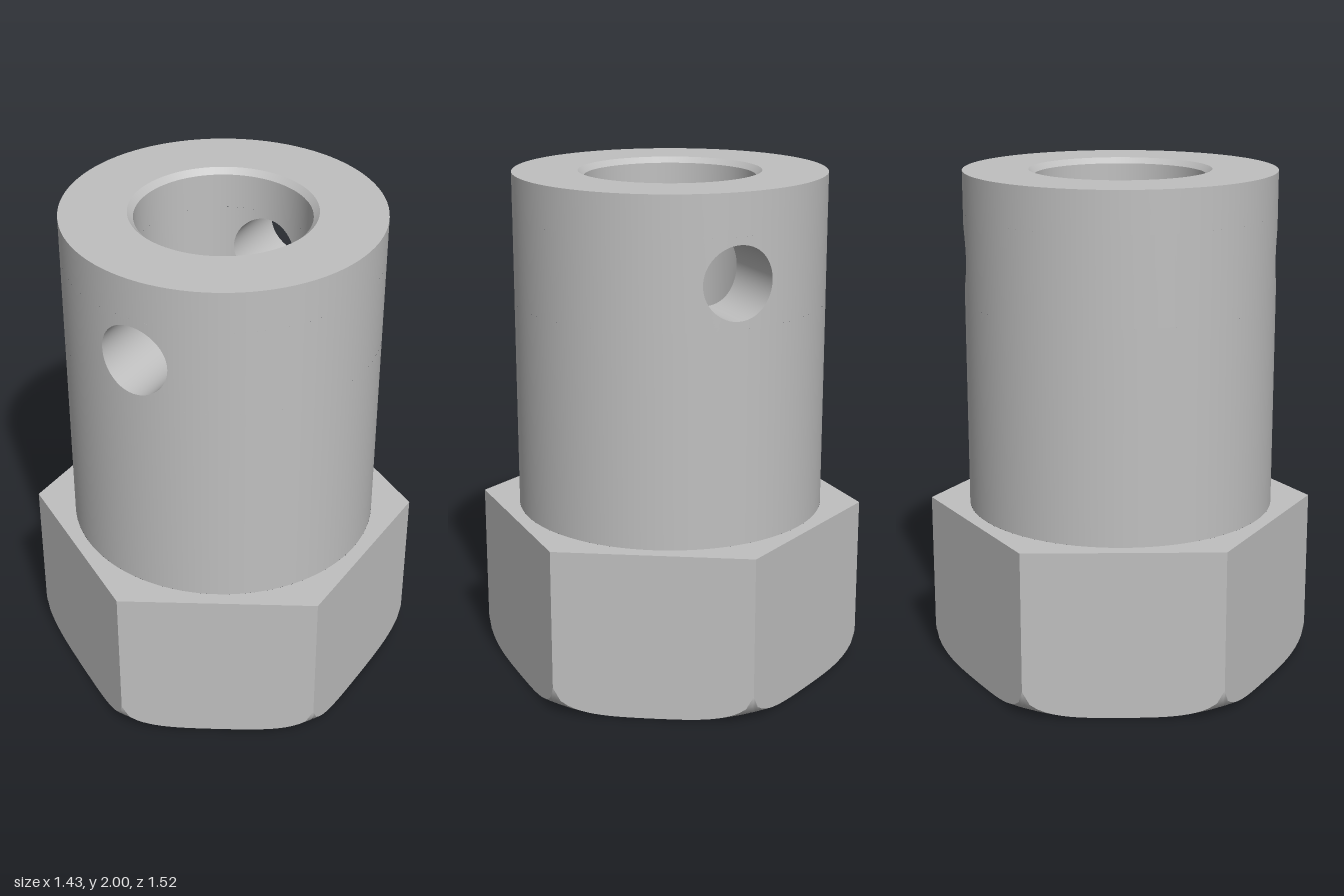
import * as THREE from 'three';
import { mergeGeometries } from 'three/addons/utils/BufferGeometryUtils.js';

const BODY_R = 0.61, BORE_R = 0.333, DRILL_R = 0.185;
const HEX_R = 0.768, HEX_TOP = 0.667, FILLET = 0.111;
const HOLE_R = 0.14, HOLE_Y = 1.67, BAND = 0.17;
const TAU = Math.PI * 2;

// Grid surface: fn(u, v) gives [position, normal]; winding follows the normal.
function surface(nu, nv, fn) {
  const pos = [], nor = [], idx = [];
  for (let j = 0; j <= nv; j++) {
    for (let i = 0; i <= nu; i++) {
      const [p, n] = fn(i / nu, j / nv);
      pos.push(...p);
      nor.push(...n);
    }
  }
  const vec = (a, i) => new THREE.Vector3().fromArray(a, i * 3);
  const tri = (a, b, c) => {
    const A = vec(pos, a);
    const face = vec(pos, b).sub(A).cross(vec(pos, c).sub(A));
    const want = vec(nor, a).add(vec(nor, b)).add(vec(nor, c));
    idx.push(...(face.dot(want) < 0 ? [a, c, b] : [a, b, c]));
  };
  for (let j = 0; j < nv; j++) {
    for (let i = 0; i < nu; i++) {
      const a = j * (nu + 1) + i, c = a + nu + 1;
      tri(a, a + 1, c + 1);
      tri(a, c + 1, c);
    }
  }
  const g = new THREE.BufferGeometry();
  g.setAttribute('position', new THREE.Float32BufferAttribute(pos, 3));
  g.setAttribute('normal', new THREE.Float32BufferAttribute(nor, 3));
  g.setIndex(idx);
  return g;
}

const polar = (r, y, t) => [r * Math.cos(t), y, r * Math.sin(t)];

// Straight profile edge swept round the axis; the normal lies right of the edge.
function revolve([r0, y0], [r1, y1], t0 = 0, t1 = TAU) {
  const len = Math.hypot(r1 - r0, y1 - y0);
  const nr = (y1 - y0) / len, ny = (r0 - r1) / len;
  return surface(Math.max(8, Math.round((96 * (t1 - t0)) / TAU)), 1, (u, v) => {
    const t = t0 + u * (t1 - t0);
    return [polar(r0 + (r1 - r0) * v, y0 + (y1 - y0) * v, t), polar(nr, ny, t)];
  });
}

// Round wall with two opposite cross holes cut in the band around HOLE_Y.
function drilledWall(r, y0, y1, side) {
  const lo = HOLE_Y - BAND, hi = HOLE_Y + BAND;
  const half = Math.asin(HOLE_R / r) + 0.12;
  const edge = (a, b, t0, t1) =>
    side > 0 ? revolve([r, a], [r, b], t0, t1) : revolve([r, b], [r, a], t0, t1);
  const parts = [edge(y0, lo), edge(hi, y1)];
  for (const at of [0, Math.PI]) {
    parts.push(edge(lo, hi, at + half, at + Math.PI - half));
    // patch running from the hole's rim to a rectangle
    parts.push(surface(64, 6, (u, v) => {
      const c = Math.cos(u * TAU), s = Math.sin(u * TAU);
      const m = Math.max(Math.abs(c), Math.abs(s));
      const rim = Math.asin((HOLE_R * c) / r);
      const t = at + rim + ((half * c) / m - rim) * v;
      const y = HOLE_Y + HOLE_R * s + ((BAND * s) / m - HOLE_R * s) * v;
      return [polar(r, y, t), polar(side, 0, t)];
    }));
  }
  return mergeGeometries(parts);
}

// Tunnel between the bore and the outer wall
function tunnel(dir) {
  return surface(64, 1, (u, v) => {
    const c = Math.cos(u * TAU), s = Math.sin(u * TAU);
    const r = v ? BODY_R : BORE_R;
    const x = dir * Math.sqrt(r * r - (HOLE_R * c) ** 2);
    return [[x, HOLE_Y + HOLE_R * s, HOLE_R * c], [0, -s, -c]];
  });
}

// Hexagon outline and the rounded lower edge turned on it
const apothem = HEX_R * Math.cos(Math.PI / 6);
const flatR = HEX_R - FILLET;
const hexRadius = (local) => apothem / Math.cos(local);
const filletY = (r) => FILLET - Math.sqrt(Math.max(0, FILLET ** 2 - (r - flatR) ** 2));

function hexParts() {
  const sides = [], tops = [], fillets = [];
  for (let i = 0; i < 6; i++) {
    const mid = ((i + 0.5) * Math.PI) / 3;
    const local = (u) => ((u - 0.5) * Math.PI) / 3;
    sides.push(surface(32, 1, (u, v) => {
      const r = hexRadius(local(u));
      return [polar(r, v ? HEX_TOP : filletY(r), mid + local(u)), polar(1, 0, mid)];
    }));
    tops.push(surface(32, 1, (u, v) => {
      const r = v ? hexRadius(local(u)) : BODY_R;
      return [polar(r, HEX_TOP, mid + local(u)), [0, 1, 0]];
    }));
    fillets.push(surface(32, 8, (u, v) => {
      const end = Math.asin(Math.min(1, (hexRadius(local(u)) - flatR) / FILLET));
      const a = end * v, t = mid + local(u);
      return [
        polar(flatR + FILLET * Math.sin(a), FILLET * (1 - Math.cos(a)), t),
        polar(Math.sin(a), -Math.cos(a), t),
      ];
    }));
  }
  return [sides, tops, fillets].map((list) => mergeGeometries(list));
}

export function createModel() {
  const steel = new THREE.MeshStandardMaterial({ color: 0xc0c0c0 });
  steel.name = 'steel grey';
  const model = new THREE.Group();
  model.name = 'hexCoupling';
  const add = (name, geometry) => {
    const mesh = new THREE.Mesh(geometry, steel);
    mesh.name = name;
    model.add(mesh);
  };

  // Sleeve and its stepped bore
  add('sleeveWall', drilledWall(BODY_R, HEX_TOP, 2, 1));
  add('sleeveRim', revolve([BODY_R, 2], [0.355, 2]));
  add('boreChamfer', revolve([0.355, 2], [BORE_R, 1.978]));
  add('boreWall', drilledWall(BORE_R, HEX_TOP, 1.978, -1));
  add('boreFloor', revolve([BORE_R, HEX_TOP], [DRILL_R, HEX_TOP]));
  add('drillWall', revolve([DRILL_R, HEX_TOP], [DRILL_R, 0.037]));
  add('drillChamfer', revolve([DRILL_R, 0.037], [0.222, 0]));
  add('rightCrossHole', tunnel(-1));
  add('leftCrossHole', tunnel(1));

  // Hexagonal base
  const [sides, top, fillet] = hexParts();
  add('hexSides', sides);
  add('hexShoulder', top);
  add('hexLowerEdge', fillet);
  add('hexUnderside', revolve([0.222, 0], [flatR, 0]));

  // The cross hole lines up with two hexagon corners
  model.rotation.y = THREE.MathUtils.degToRad(38.3);
  return model;
}
